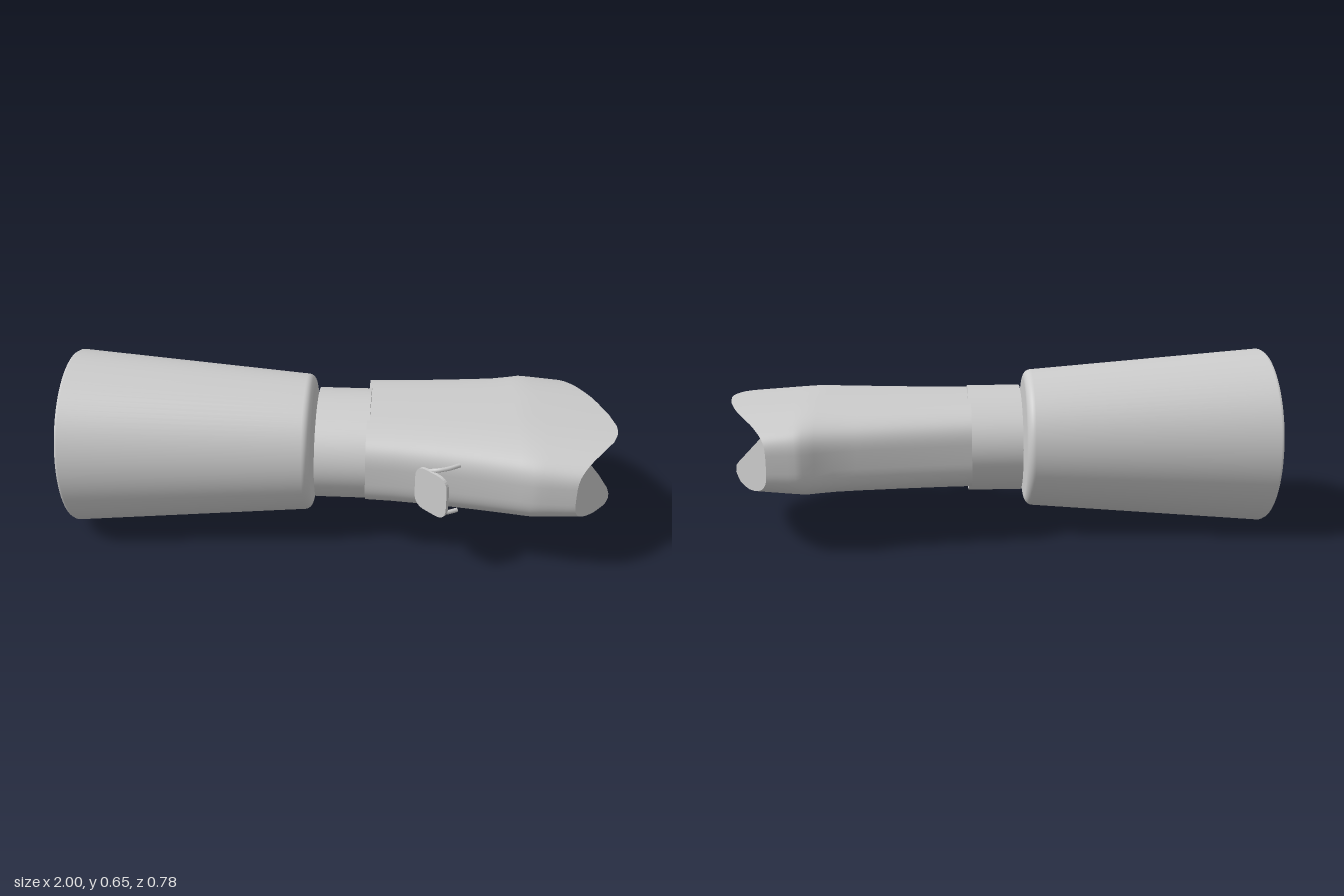
import * as THREE from 'three';

const RING = 96;

// Piecewise linear lookup in [key, value] pairs with ascending keys
function lookup(pairs, k) {
  if (k <= pairs[0][0]) return pairs[0][1];
  for (let i = 1; i < pairs.length; i++) {
    const [k0, v0] = pairs[i - 1], [k1, v1] = pairs[i];
    if (k <= k1) return v0 + (v1 - v0) * (k - k0) / (k1 - k0);
  }
  return pairs[pairs.length - 1][1];
}

// Rounded-rectangle ring: returns [x, y, z] points; xAt gives x from z
function ring(zMin, zMax, yMin, yMax, power, xAt) {
  const pts = [];
  const e = 2 / power;
  for (let j = 0; j < RING; j++) {
    const a = j / RING * Math.PI * 2, c = Math.cos(a), s = Math.sin(a);
    const z = (zMin + zMax) / 2 + (zMax - zMin) / 2 * Math.sign(c) * Math.abs(c) ** e;
    const y = (yMin + yMax) / 2 + (yMax - yMin) / 2 * Math.sign(s) * Math.abs(s) ** e;
    pts.push([xAt(z), y, z]);
  }
  return pts;
}

// Smooth skin through a list of rings
function skin(rings) {
  const index = [];
  for (let i = 0; i < rings.length - 1; i++) {
    for (let j = 0; j < RING; j++) {
      const k = (j + 1) % RING;
      const a = i * RING + j, b = a + RING, c = (i + 1) * RING + k, d = i * RING + k;
      index.push(a, b, c, a, c, d);
    }
  }
  const g = new THREE.BufferGeometry();
  g.setAttribute('position', new THREE.Float32BufferAttribute(rings.flat(2), 3));
  g.setIndex(index);
  g.computeVertexNormals();
  return g;
}

// Fan cap closing a ring, evenly shaded along x
function cap(pts, center, dir) {
  const index = [];
  for (let j = 0; j < RING; j++) {
    const k = (j + 1) % RING;
    if (dir > 0) index.push(RING, k, j);
    else index.push(RING, j, k);
  }
  const all = [...pts, center];
  const g = new THREE.BufferGeometry();
  g.setAttribute('position', new THREE.Float32BufferAttribute(all.flat(), 3));
  g.setAttribute('normal', new THREE.Float32BufferAttribute(all.flatMap(() => [dir, 0, 0]), 3));
  g.setIndex(index);
  return g;
}

export function createModel() {
  const model = new THREE.Group();
  const grey = new THREE.MeshStandardMaterial({ color: 0xcccccc });
  grey.name = 'light grey';
  const add = (name, geometry, parent = model) => {
    const m = new THREE.Mesh(geometry, grey);
    m.name = name;
    parent.add(m);
    return m;
  };

  // Tapered sleeve lying along x, with a rounded rim at the wrist end
  const sleeve = new THREE.Group();
  sleeve.name = 'sleeve';
  sleeve.position.y = 0.328;
  sleeve.rotation.z = -Math.PI / 2;
  const profile = [[0.322, -1], [0.327, -0.99]].map(p => new THREE.Vector2(...p));
  for (let i = 0; i <= 8; i++) {
    const a = i / 8 * Math.PI / 2;
    profile.push(new THREE.Vector2(0.222 + 0.035 * Math.cos(a), -0.13 + 0.03 * Math.sin(a)));
  }
  add('sleeveBody', new THREE.LatheGeometry(profile, 96), sleeve);
  const back = add('sleeveBackCap', new THREE.CircleGeometry(0.322, 96), sleeve);
  back.position.y = -1;
  back.rotation.x = Math.PI / 2;
  const front = add('sleeveFrontCap', new THREE.CircleGeometry(0.222, 96), sleeve);
  front.position.y = -0.1;
  front.rotation.x = -Math.PI / 2;
  model.add(sleeve);

  // Oval wrist collar
  const collarGeo = new THREE.CylinderGeometry(1, 1, 0.195, 96);
  collarGeo.rotateZ(-Math.PI / 2);
  collarGeo.scale(1, 0.194, 0.241);
  add('wristCollar', collarGeo).position.set(0.0125, 0.331, 0);

  // Flattened hand: straight rings first, [x, zMin, zMax]
  const stations = [
    [0.1, -0.295, 0.268], [0.2, -0.302, 0.275], [0.35, -0.318, 0.293], [0.5, -0.338, 0.318],
    [0.58, -0.352, 0.333], [0.64, -0.371, 0.345], [0.68, -0.386, 0.354],
  ];
  const rings = stations.map(([x, z0, z1]) => ring(z0, z1, 0.19, 0.5, 3.5, () => x));
  // then rings that fan out to the curved finger edge, [z, x]
  const edge = [
    [-0.387, 0.8], [-0.34, 0.835], [-0.25, 0.89], [-0.15, 0.937], [-0.05, 0.972], [0.03, 0.993],
    [0.08, 0.998], [0.13, 0.996], [0.19, 0.972], [0.26, 0.92], [0.33, 0.86], [0.363, 0.83],
  ];
  for (let i = 1; i <= 5; i++) {
    const t = i / 5;
    const drop = 0.022 * t;
    rings.push(ring(-0.388 + 0.002 * t, 0.356 + 0.006 * t, 0.19 + drop, 0.5 - drop, 3.5 + 0.3 * t,
      z => 0.68 + (lookup(edge, z) - 0.68) * t));
  }
  add('hand', skin(rings));
  add('handWristFace', cap(rings[0], [0.1, 0.345, -0.014], -1));
  // Dished finger end, sunk towards its middle
  add('handFingerFace', cap(rings[rings.length - 1], [0.878, 0.345, 0], 1));

  // Raised thumb clip on the front side
  const thumb = new THREE.Group();
  thumb.name = 'thumbClip';
  const w = 0.15, h = 0.165, r = 0.05;
  const s = new THREE.Shape();
  s.moveTo(r, -h / 2);
  s.lineTo(w - r, -h / 2);
  s.quadraticCurveTo(w, -h / 2, w, -h / 2 + r);
  s.lineTo(w, h / 2 - r);
  s.quadraticCurveTo(w, h / 2, w - r, h / 2);
  s.lineTo(r, h / 2);
  s.quadraticCurveTo(0, h / 2, 0, h / 2 - r);
  s.lineTo(0, -h / 2 + r);
  s.quadraticCurveTo(0, -h / 2, r, -h / 2);
  const plate = add('thumbPlate', new THREE.ExtrudeGeometry(s, { depth: 0.012, bevelEnabled: false, curveSegments: 8 }), thumb);
  plate.position.set(0.286, 0.332, 0.278);
  plate.rotation.y = -0.77;
  // Prongs at the top and bottom running back to the hand
  for (const side of [1, -1]) {
    const curve = new THREE.CatmullRomCurve3([
      new THREE.Vector3(0.315, 0.332 + side * 0.07, 0.308),
      new THREE.Vector3(0.35, 0.332 + side * 0.087, 0.33),
      new THREE.Vector3(0.39, 0.332 + side * 0.091, 0.322),
      new THREE.Vector3(0.43, 0.332 + side * 0.093, 0.3),
    ]);
    add('thumbProng', new THREE.TubeGeometry(curve, 16, 0.008, 8), thumb);
  }
  model.add(thumb);
  return model;
}
